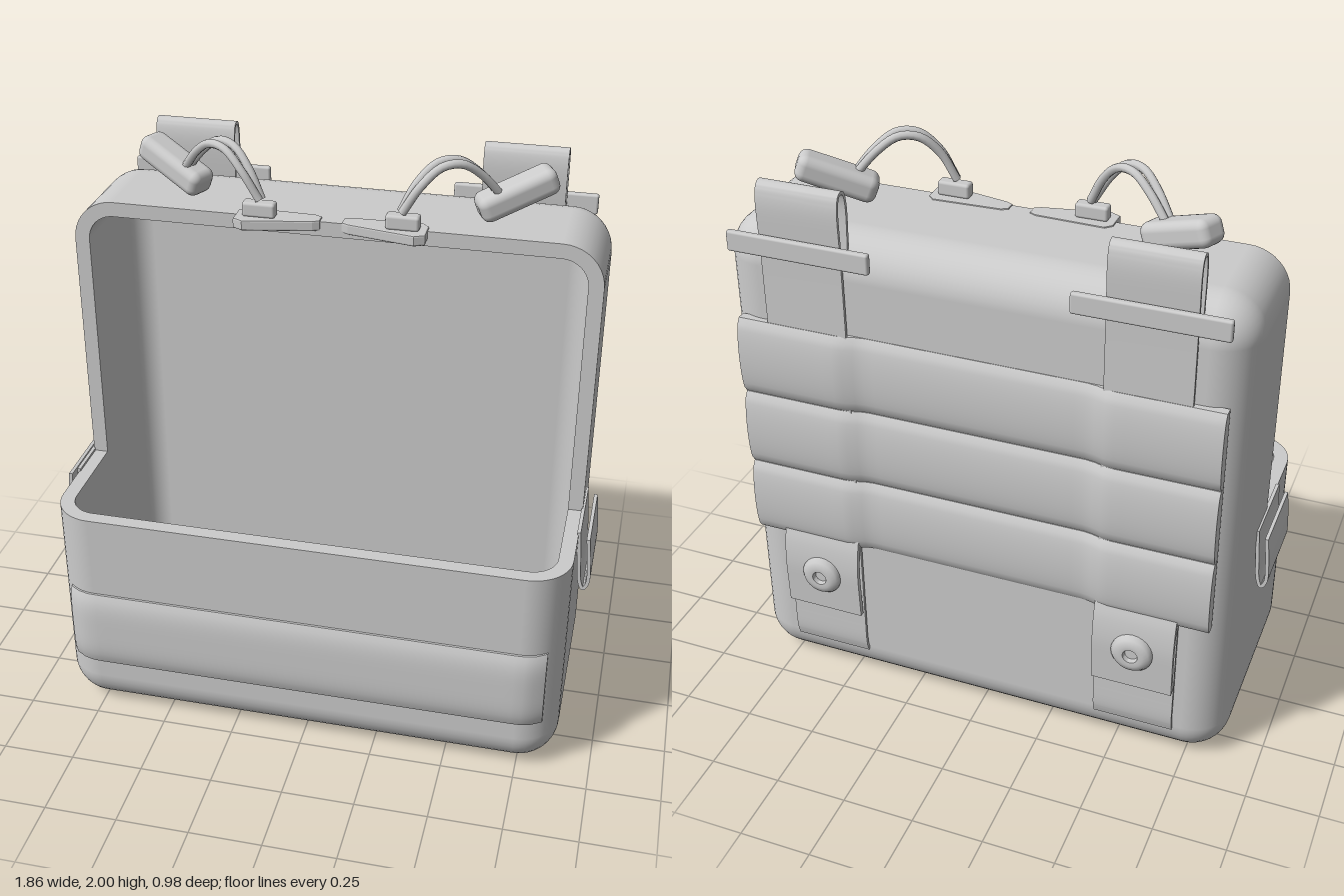
import * as THREE from 'three';
import { mergeVertices, toCreasedNormals } from 'three/addons/utils/BufferGeometryUtils.js';
import { RoundedBoxGeometry } from 'three/addons/geometries/RoundedBoxGeometry.js';

const HALF = [0.88, 0.885, 0.437], CENTER = [0, 0.885, 0.027];
const R = 0.14, WALL = 0.05, CUT_Y = 0.8, CUT_Z = 0.02;
const mat = new THREE.MeshStandardMaterial({ color: 0xcccccc, side: THREE.DoubleSide });

function add(parent, name, geometry, x = 0, y = 0, z = 0) {
  const mesh = new THREE.Mesh(geometry, mat);
  mesh.name = name;
  mesh.position.set(x, y, z);
  parent.add(mesh);
  return mesh;
}

// Grid lines along one axis: dense in the rounded corners, plus the cut lines
function gridLines(axis, cuts) {
  const lines = [...cuts];
  for (let i = 0; i <= 5; i++) {
    const d = HALF[axis] - R + R * Math.tan((i / 5) * Math.PI / 4);
    lines.push(CENTER[axis] + d, CENTER[axis] - d);
  }
  return lines.sort((a, b) => a - b);
}

// Rounded hollow box with its upper front quarter cut away
function buildBody(parent) {
  const lines = [gridLines(0, []), gridLines(1, [CUT_Y]), gridLines(2, [CUT_Z])];
  const n = lines.map(l => l.length - 1);
  let box = new THREE.BoxGeometry(1, 1, 1, ...n);
  box.deleteAttribute('normal');
  box.deleteAttribute('uv');
  box = mergeVertices(box);
  const p = box.attributes.position, outer = [], inner = [], normals = [];
  for (let i = 0; i < p.count; i++) {
    const core = new THREE.Vector3(), dir = new THREE.Vector3();
    for (let a = 0; a < 3; a++) {
      const v = lines[a][Math.round((p.getComponent(i, a) + 0.5) * n[a])];
      const h = HALF[a] - R;
      core.setComponent(a, THREE.MathUtils.clamp(v, CENTER[a] - h, CENTER[a] + h));
      dir.setComponent(a, v - core.getComponent(a));
    }
    dir.normalize();
    outer.push(...core.clone().addScaledVector(dir, R).toArray());
    inner.push(...core.clone().addScaledVector(dir, R - WALL).toArray());
    normals.push(...dir.toArray());
  }
  // Keep faces outside the opening, and find the edges left open
  const index = [], edges = new Set(), src = box.index.array;
  for (let i = 0; i < src.length; i += 3) {
    const t = [src[i], src[i + 1], src[i + 2]];
    const mid = k => t.reduce((s, v) => s + outer[v * 3 + k], 0) / 3;
    if (mid(1) > CUT_Y && mid(2) > CUT_Z) continue;
    index.push(...t);
    t.forEach((v, k) => edges.add(v + '_' + t[(k + 1) % 3]));
  }
  const make = (pos, nor, idx) => {
    const g = new THREE.BufferGeometry();
    g.setAttribute('position', new THREE.Float32BufferAttribute(pos, 3));
    if (nor) g.setAttribute('normal', new THREE.Float32BufferAttribute(nor, 3));
    g.setIndex(idx);
    return g;
  };
  add(parent, 'bodyShell', make(outer, normals, index));
  add(parent, 'bodyLining', make(inner, normals.map(v => -v), index.slice().reverse()));
  // Rim joins shell and lining round the opening
  const count = p.count, rim = [];
  for (const e of edges) {
    const [a, b] = e.split('_').map(Number);
    if (!edges.has(b + '_' + a)) rim.push(b, a, a + count, b, a + count, b + count);
  }
  add(parent, 'openingRim', toCreasedNormals(make([...outer, ...inner], null, rim), 0.6));
}

// Padded strip whose outer face bulges by rule(x, t), t running -1..1 over its height
function pad(width, height, rule) {
  const g = new THREE.BoxGeometry(width, height, 1, 48, 14, 1), p = g.attributes.position;
  for (let i = 0; i < p.count; i++) {
    p.setZ(i, rule(p.getX(i), p.getY(i) / (height / 2), p.getZ(i) > 0));
  }
  g.computeVertexNormals();
  return g;
}

// Thin band following a 2D path, extruded to a width; alongX turns path x into z
function ribbon(points, thick, width, alongX) {
  const curve = new THREE.CatmullRomCurve3(
    points.map(([x, y]) => new THREE.Vector3(x, y, 0)), false, 'centripetal');
  const left = [], right = [], steps = points.length * 6;
  for (let i = 0; i <= steps; i++) {
    const c = curve.getPoint(i / steps), t = curve.getTangent(i / steps);
    left.push(new THREE.Vector2(c.x - t.y * thick / 2, c.y + t.x * thick / 2));
    right.unshift(new THREE.Vector2(c.x + t.y * thick / 2, c.y - t.x * thick / 2));
  }
  const g = new THREE.ExtrudeGeometry(new THREE.Shape([...left, ...right]),
    { depth: width, bevelEnabled: false });
  g.translate(0, 0, -width / 2);
  if (alongX) g.rotateY(-Math.PI / 2);
  return toCreasedNormals(g, 0.7);
}

// Zip slider, cord loop and toggle on one side
function buildZipPull(parent, s) {
  const pull = new THREE.Group();
  pull.name = s > 0 ? 'leftZipPull' : 'rightZipPull';
  parent.add(pull);
  const outline = [[0.04, -0.02], [0.06, -0.03], [0.28, -0.075], [0.31, -0.06], [0.31, 0.01],
    [0.29, 0.03], [0.06, 0.022], [0.04, 0.012]].map(([x, y]) => new THREE.Vector2(s * x, y));
  const slider = new THREE.ExtrudeGeometry(new THREE.Shape(outline),
    { depth: 0.024, bevelSize: 0.004, bevelThickness: 0.006, bevelSegments: 2 });
  slider.rotateX(-Math.PI / 2);
  add(pull, 'zipSlider', slider, 0, 1.745, 0);
  add(pull, 'sliderBridge', new RoundedBoxGeometry(0.11, 0.05, 0.045, 2, 0.01), s * 0.235, 1.797, 0.022);
  for (const o of [-1, 1]) {
    const path = [[0.23, 1.83, 0.025, 0.3], [0.28, 1.92, 0.015, 0.8], [0.34, 1.98, -0.015, 1],
      [0.40, 1.985, -0.045, 1], [0.46, 1.94, -0.08, 0.8], [0.53, 1.85, -0.12, 0.4]]
      .map(([x, y, z, w]) => new THREE.Vector3(s * (x + o * w * 0.01), y, z + o * w * 0.018));
    add(pull, 'cord', new THREE.TubeGeometry(new THREE.CatmullRomCurve3(path), 24, 0.014, 8));
  }
  const toggle = add(pull, 'toggle', new RoundedBoxGeometry(0.105, 0.09, 0.27, 3, 0.03),
    s * 0.57, 1.858, -0.15);
  toggle.lookAt(s * (0.57 + 0.22), 1.858 + 0.095, -0.15 - 0.1);
}

// Back strap with top loop, cross bar, flap and snap button on one side
function buildStrap(parent, s) {
  const strap = new THREE.Group();
  strap.name = s > 0 ? 'leftStrap' : 'rightStrap';
  strap.position.x = s * 0.57;
  parent.add(strap);
  add(strap, 'strapLoop', ribbon([[-0.385, 1.64], [-0.372, 1.75], [-0.37, 1.88], [-0.382, 1.918],
    [-0.398, 1.925], [-0.414, 1.918], [-0.426, 1.88], [-0.424, 1.7], [-0.422, 1.0], [-0.424, 0.3],
    [-0.422, 0.17], [-0.412, 0.13]], 0.011, 0.28, true));
  add(strap, 'crossBar', new RoundedBoxGeometry(0.49, 0.07, 0.024, 2, 0.008), 0, 1.725, -0.444);
  add(strap, 'snapFlap', ribbon([[-0.43, 0.64], [-0.446, 0.58], [-0.455, 0.5], [-0.453, 0.4],
    [-0.45, 0.32]], 0.018, 0.28, true));
  const profile = [[0, 0.012], [0.022, 0.012], [0.026, 0.028], [0.042, 0.03], [0.062, 0.022],
    [0.072, 0.01], [0.072, 0]].reverse().map(([x, y]) => new THREE.Vector2(x, y));
  const snap = new THREE.LatheGeometry(profile, 24);
  snap.rotateX(-Math.PI / 2);
  add(strap, 'snapButton', toCreasedNormals(snap, 0.8), 0, 0.47, -0.459);
}

export function createModel() {
  const model = new THREE.Group();
  model.name = 'pouch';
  buildBody(model);

  // Front pad follows the rounded front corners
  const frontZ = x => {
    const d = Math.max(0, Math.abs(x) - (HALF[0] - R));
    return CENTER[2] + HALF[2] - R + Math.sqrt(R * R - d * d);
  };
  add(model, 'frontPad', pad(1.66, 0.29, (x, t, out) =>
    frontZ(x) + (out ? 0.008 + 0.018 * (1 - t ** 4) : -0.012)), 0, 0.355, 0);

  // Three quilted webbing rows, raised where they pass over the straps
  const over = x => THREE.MathUtils.smoothstep(Math.abs(x), 0.38, 0.46);
  for (let i = 0; i < 3; i++) {
    add(model, 'webbingRow', pad(1.63, 0.278, (x, t, out) =>
      out ? -0.4 : -0.412 - 0.018 * over(x) - 0.025 * Math.sqrt(Math.max(0, 1 - t * t))),
    0, 1.3 - i * 0.28, 0);
  }

  for (const s of [1, -1]) {
    buildStrap(model, s);
    buildZipPull(model, s);
    // Folded tab on the side wall
    add(model, 'sideTab', ribbon([[0.881, 0.81], [0.888, 0.72], [0.898, 0.61], [0.91, 0.586],
      [0.924, 0.61], [0.924, 0.68], [0.914, 0.785]].map(([x, y]) => [s * x, y]), 0.012, 0.29, false),
    0, 0, 0.025);
  }
  return model;
}
